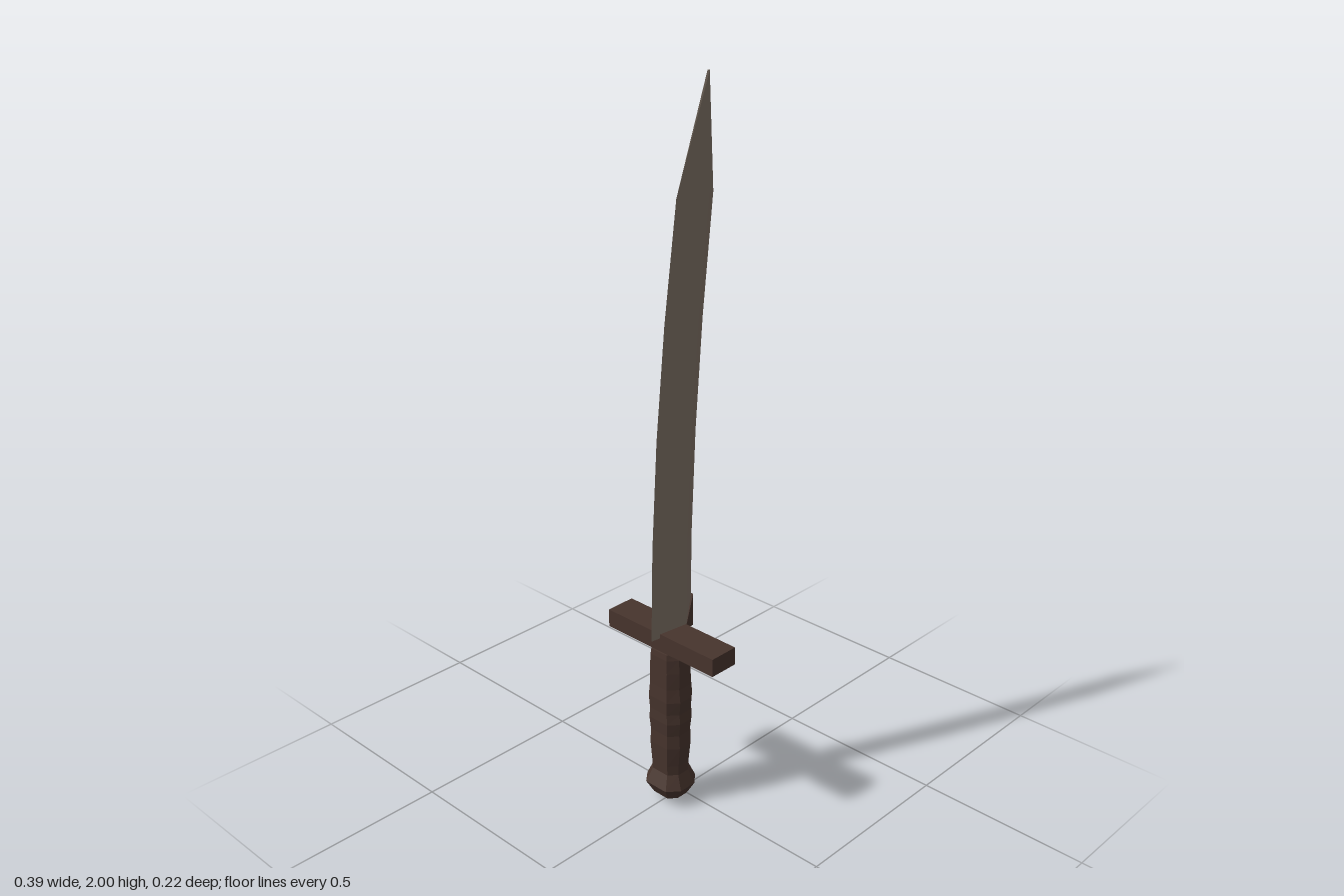
import * as THREE from 'three';

const steel = new THREE.MeshStandardMaterial({ color: 0x7d7064 });
steel.name = 'dull steel';
const wood = new THREE.MeshStandardMaterial({ color: 0x47342d });
wood.name = 'dark brown';

const GRIP_Z = 0.038; // centre line of the handle

// Joins rings of [x, y, z] points (anticlockwise from above, bottom to top) into a faceted solid
function loft(rings) {
  const pos = [];
  const n = rings[0].length;
  const tri = (a, b, c) => pos.push(...a, ...b, ...c);
  for (let i = 0; i < rings.length - 1; i++) {
    for (let j = 0; j < n; j++) {
      const k = (j + 1) % n;
      const lo = rings[i], hi = rings[i + 1];
      tri(lo[j], lo[k], hi[k]);
      tri(lo[j], hi[k], hi[j]);
    }
  }
  const bottom = rings[0], top = rings[rings.length - 1];
  for (let j = 1; j < n - 1; j++) {
    tri(bottom[0], bottom[j + 1], bottom[j]);
    tri(top[0], top[j], top[j + 1]);
  }
  const geo = new THREE.BufferGeometry();
  geo.setAttribute('position', new THREE.Float32BufferAttribute(pos, 3));
  geo.computeVertexNormals();
  return geo;
}

// Eight-sided section with half widths hx and hz
function octagon([y, hx, hz]) {
  const a = hx * 0.58, b = hz * 0.45;
  return [[a, hz], [hx, b], [hx, -b], [a, -hz], [-a, -hz], [-hx, -b], [-hx, b], [-a, hz]]
    .map(([x, z]) => [x, y, z + GRIP_Z]);
}

// Blade section: sharp at the front, thick near the back, chamfered spine
function bladeSection([y, front, back, t]) {
  const shoulder = back + (front - back) * 0.16;
  return [[0, y, front], [t, y, shoulder], [t * 0.6, y, back], [-t * 0.6, y, back], [-t, y, shoulder]];
}

export function createModel() {
  const group = new THREE.Group();
  const add = (name, geo, mat) => {
    const mesh = new THREE.Mesh(geo, mat);
    mesh.name = name;
    group.add(mesh);
    return mesh;
  };

  // Curved blade: height, front edge z, back z, half thickness
  add('blade', loft([
    [0.53, 0.11, -0.032, 0.016],
    [0.8, 0.104, -0.034, 0.016],
    [1.1, 0.086, -0.048, 0.016],
    [1.4, 0.056, -0.073, 0.015],
    [1.71, 0.013, -0.109, 0.014],
    [2.0, -0.094, -0.1, 0.003],
  ].map(bladeSection)), steel);

  // Brown wedge at the heel of the blade
  const heel = new THREE.Shape([
    new THREE.Vector2(0.005, 0.529),
    new THREE.Vector2(0.033, 0.529),
    new THREE.Vector2(0.034, 0.625),
  ]);
  const heelGeo = new THREE.ExtrudeGeometry(heel, { depth: 0.033, bevelEnabled: false });
  heelGeo.translate(0, 0, -0.0165).rotateY(Math.PI / 2);
  add('bladeHeel', heelGeo, wood);

  // Crossguard
  add('guard', new THREE.BoxGeometry(0.388, 0.052, 0.088), wood).position.set(0, 0.516, 0.037);

  // Grip with shallow finger swells
  add('grip', loft([
    [0.09, 0.048, 0.042],
    [0.13, 0.05, 0.044],
    [0.19, 0.056, 0.047],
    [0.23, 0.053, 0.046],
    [0.27, 0.058, 0.049],
    [0.3, 0.055, 0.048],
    [0.34, 0.059, 0.05],
    [0.38, 0.054, 0.048],
    [0.43, 0.055, 0.047],
    [0.47, 0.052, 0.046],
    [0.487, 0.048, 0.044],
  ].map(octagon)), wood);

  // Faceted pommel
  add('pommel', loft([
    [0.005, 0.022, 0.02],
    [0.02, 0.045, 0.04],
    [0.058, 0.066, 0.06],
    [0.1, 0.048, 0.043],
  ].map(octagon)), wood);

  // Rounded off underside of the pommel
  add('pommelCap', loft([[0, 0.008, 0.007], [0.006, 0.022, 0.02]].map(octagon)), wood);

  return group;
}
